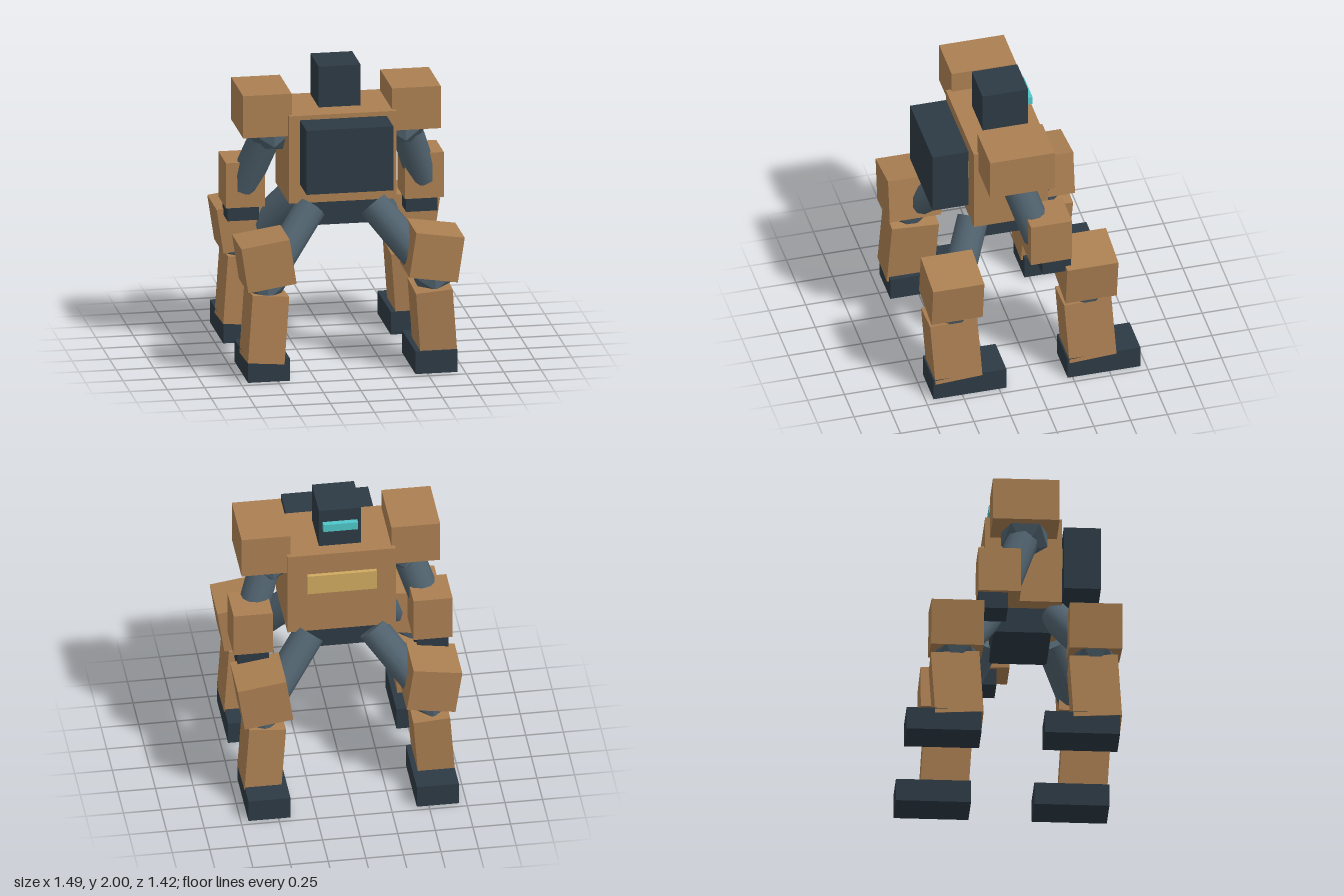
import * as THREE from 'three';

const mat = (color, flatShading = true) => {
  const m = new THREE.MeshStandardMaterial({ color });
  m.flatShading = flatShading;
  return m;
};

export function createModel() {
  const robot = new THREE.Group();
  robot.name = 'fourLeggedRobot';
  const armor = mat(0xab7f52), dark = mat(0x2d3a44), gold = mat(0xd0aa60), cyan = mat(0x4fc6c8);
  const joint = mat(0x50626e), limb = mat(0x50626e, false);

  const add = (parent, name, geometry, material, pos) => {
    const mesh = new THREE.Mesh(geometry, material);
    mesh.name = name;
    mesh.position.set(...pos);
    parent.add(mesh);
    return mesh;
  };
  const box = (parent, name, size, pos, material) =>
    add(parent, name, new THREE.BoxGeometry(...size), material, pos);
  const ball = (parent, name, r, pos) =>
    add(parent, name, new THREE.IcosahedronGeometry(r, 0), joint, pos);
  // Round strut between two points
  const strut = (parent, name, r, from, to) => {
    const a = new THREE.Vector3(...from), b = new THREE.Vector3(...to);
    const dir = b.clone().sub(a);
    const mesh = add(parent, name, new THREE.CylinderGeometry(r, r, dir.length(), 12), limb,
      a.clone().add(b).multiplyScalar(0.5).toArray());
    mesh.quaternion.setFromUnitVectors(new THREE.Vector3(0, 1, 0), dir.normalize());
    return mesh;
  };

  // Body
  box(robot, 'torso', [0.72, 0.6, 0.505], [0, 1.405, 0.08], armor);
  box(robot, 'chestBand', [0.46, 0.14, 0.545], [0, 1.485, 0.0725], gold);
  box(robot, 'pelvis', [0.5, 0.18, 0.38], [0, 1.02, 0.08], dark);
  box(robot, 'backpack', [0.58, 0.44, 0.245], [0, 1.46, 0.4725], dark);

  // Head, looking towards -z
  box(robot, 'head', [0.28, 0.28, 0.31], [0, 1.86, 0.06], dark);
  box(robot, 'visor', [0.23, 0.055, 0.06], [0, 1.882, -0.102], cyan);

  for (const s of [1, -1]) {
    // Arm
    const arm = new THREE.Group();
    arm.name = s > 0 ? 'leftArm' : 'rightArm';
    robot.add(arm);
    box(arm, 'shoulderPad', [0.325, 0.29, 0.44], [s * 0.498, 1.705, 0.08], armor);
    ball(arm, 'shoulderJoint', 0.18, [s * 0.44, 1.56, 0.08]);
    strut(arm, 'upperArm', 0.105, [s * 0.46, 1.53, 0.08], [s * 0.6, 1.13, -0.05]);
    box(arm, 'forearm', [0.26, 0.31, 0.28], [s * 0.598, 1.16, -0.1], armor);
    box(arm, 'hand', [0.21, 0.12, 0.195], [s * 0.597, 0.95, -0.142], dark);

    // Front (-z) and rear (+z) legs, splayed around the body centre
    for (const e of [-1, 1]) {
      const z = 0.08 + e * 0.456;
      const leg = new THREE.Group();
      leg.name = (e < 0 ? 'forward' : 'rear') + (s > 0 ? 'LeftLeg' : 'RightLeg');
      robot.add(leg);
      strut(leg, 'thigh', 0.105, [s * 0.21, 1.063, 0.08 + e * 0.22], [s * 0.555, 0.64, z]);
      const knee = box(leg, 'kneeArmor', [0.327, 0.308, 0.348], [s * 0.562, 0.796, z], armor);
      knee.rotation.z = -s * 0.15;
      ball(leg, 'kneeJoint', 0.155, [s * 0.56, 0.64, z]);
      const shin = box(leg, 'shin', [0.245, 0.457, 0.32], [s * 0.562, 0.346, z], armor);
      shin.rotation.set(s * 0.058, 0, s * 0.08);
      box(leg, 'foot', [0.28, 0.155, 0.495], [s * 0.56, 0.0775, z - 0.088], dark);
    }
  }
  return robot;
}
